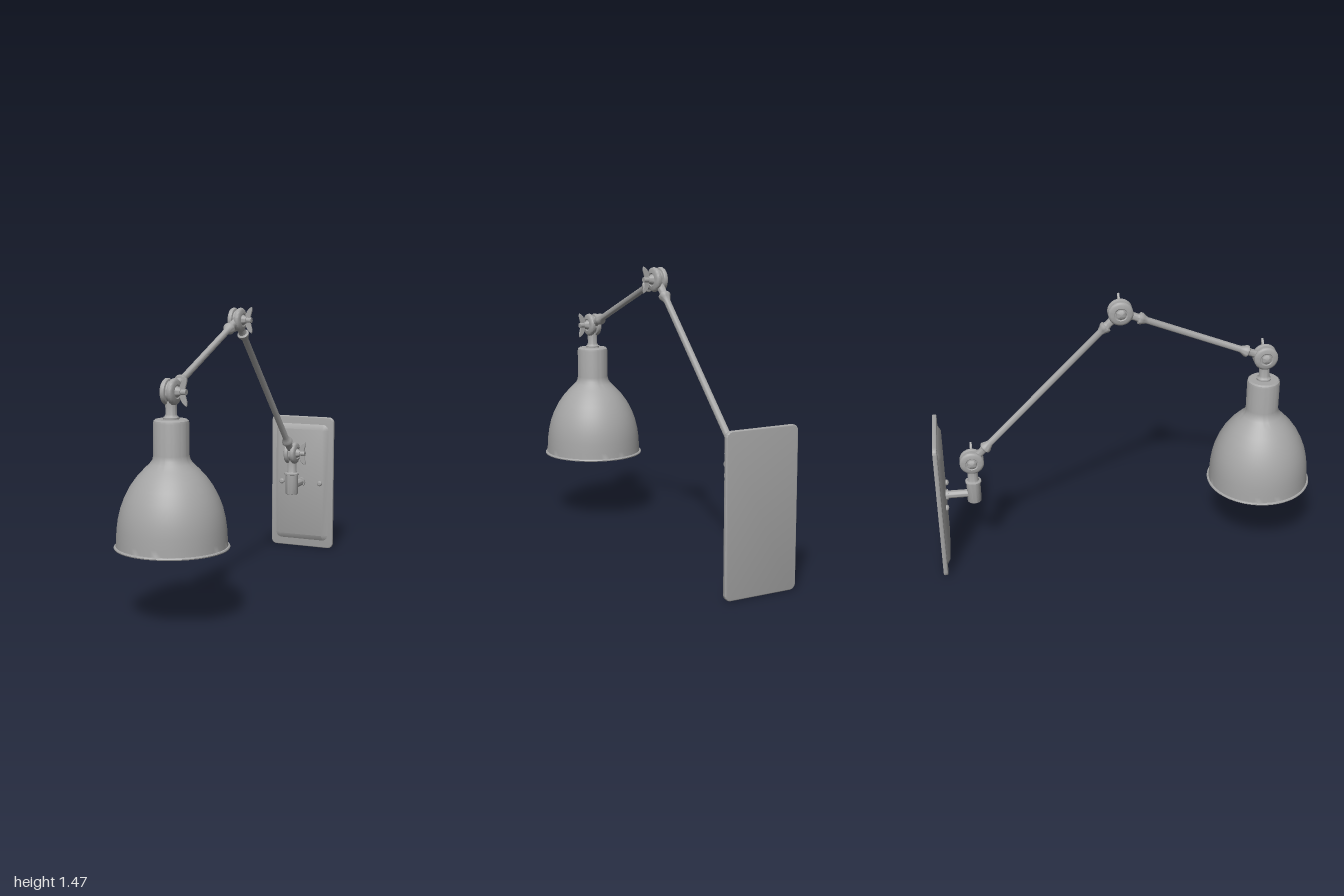
import * as THREE from 'three';
import { toCreasedNormals } from 'three/addons/utils/BufferGeometryUtils.js';

const metal = new THREE.MeshStandardMaterial({ color: 0xa6a6a6 });
metal.name = 'grey metal';

function part(name, geometry, parent, x = 0, y = 0, z = 0) {
  const mesh = new THREE.Mesh(toCreasedNormals(geometry, 0.6), metal);
  mesh.name = name;
  mesh.position.set(x, y, z);
  parent.add(mesh);
  return mesh;
}

const lathe = (points, segments = 32) =>
  new THREE.LatheGeometry(points.map(([r, h]) => new THREE.Vector2(r, h)), segments);

function roundedRect(w, h, r) {
  const s = new THREE.Shape();
  s.absarc(w / 2 - r, h / 2 - r, r, 0, Math.PI / 2);
  s.absarc(-w / 2 + r, h / 2 - r, r, Math.PI / 2, Math.PI);
  s.absarc(-w / 2 + r, -h / 2 + r, r, Math.PI, Math.PI * 1.5);
  s.absarc(w / 2 - r, -h / 2 + r, r, Math.PI * 1.5, Math.PI * 2);
  s.closePath();
  return s;
}

// Clamped pivot: two round cheeks, a rivet head and a wing nut
function makeJoint(name, y, z) {
  const joint = new THREE.Group();
  joint.name = name;
  joint.position.set(0, y, z);
  for (const side of [-1, 1]) {
    const cheek = lathe([[0, -0.014], [0.05, -0.014], [0.059, -0.011], [0.063, -0.004],
      [0.063, 0.004], [0.059, 0.01], [0.05, 0.014], [0.034, 0.016], [0.03, 0.013], [0, 0.013]]);
    part('cheek', cheek, joint, side * 0.019).rotation.z = -side * Math.PI / 2;
  }
  part('core', new THREE.CylinderGeometry(0.05, 0.05, 0.02, 32), joint).rotation.z = Math.PI / 2;
  part('rivet', lathe([[0.026, 0], [0.024, 0.008], [0.016, 0.014], [0, 0.017]]), joint, -0.031)
    .rotation.z = Math.PI / 2;
  part('screw', new THREE.CylinderGeometry(0.014, 0.014, 0.05, 20), joint, 0.056).rotation.z = Math.PI / 2;
  part('nutHub', new THREE.CylinderGeometry(0.017, 0.026, 0.022, 24), joint, 0.043).rotation.z = -Math.PI / 2;

  const wing = new THREE.Shape();
  wing.moveTo(0.046, 0);
  wing.bezierCurveTo(0.046, 0.03, 0.06, 0.055, 0.08, 0.065);
  wing.bezierCurveTo(0.088, 0.05, 0.073, 0.03, 0.072, 0);
  wing.bezierCurveTo(0.073, -0.03, 0.088, -0.05, 0.08, -0.065);
  wing.bezierCurveTo(0.06, -0.055, 0.046, -0.03, 0.046, 0);
  part('wingNut', new THREE.ExtrudeGeometry(wing, { depth: 0.008, bevelThickness: 0.002,
    bevelSize: 0.002, bevelSegments: 1, curveSegments: 8 }), joint, 0, 0, -0.004);
  return joint;
}

// Rod between two pivots with a flared collar at each end
function makeArm(name, a, b, parent) {
  const dir = b.clone().sub(a);
  const half = dir.length() / 2;
  const end = [[0, 0.045], [0.022, 0.045], [0.019, 0.085], [0.022, 0.098], [0.031, 0.104],
    [0.031, 0.114], [0.025, 0.124], [0.017, 0.145]];
  const profile = [...end.map(([r, d]) => [r, d - half]),
    ...end.slice().reverse().map(([r, d]) => [r, half - d])];
  const arm = part(name, lathe(profile, 24), parent);
  arm.position.copy(a).add(b).multiplyScalar(0.5);
  arm.quaternion.setFromUnitVectors(new THREE.Vector3(0, 1, 0), dir.normalize());
}

export function createModel() {
  const lamp = new THREE.Group();
  lamp.name = 'wallLamp';
  const lampZ = 0.725, postZ = -0.81;
  const pivots = [
    new THREE.Vector3(0, 1.096, lampZ),
    new THREE.Vector3(0, 1.398, -0.027),
    new THREE.Vector3(0, 0.593, postZ),
  ];

  // Wall plate with a chamfered raised panel
  const plate = new THREE.Group();
  plate.name = 'wallPlate';
  plate.position.set(0, 0.395, -1);
  lamp.add(plate);
  part('backPlate', new THREE.ExtrudeGeometry(roundedRect(0.38, 0.78, 0.026), { depth: 0.013,
    bevelThickness: 0.005, bevelSize: 0.005, bevelSegments: 3 }), plate, 0, 0, 0.005);
  part('raisedPanel', new THREE.ExtrudeGeometry(roundedRect(0.27, 0.64, 0.006), { depth: 0.003,
    bevelThickness: 0.018, bevelSize: 0.03, bevelSegments: 1 }), plate, 0, 0, 0.02);
  for (const side of [-1, 1]) {
    part('bolt', lathe([[0.015, 0], [0.015, 0.012], [0.01, 0.018], [0, 0.02]], 20),
      plate, side * 0.12, 0, 0.038).rotation.x = Math.PI / 2;
  }

  // Horizontal pipe and upright socket that carry the arms
  part('wallPipe', lathe([[0.021, 0], [0.021, 0.135], [0.028, 0.135], [0.028, 0.155]], 24),
    lamp, 0, 0.397, postZ).rotation.x = -Math.PI / 2;
  part('wallSocket', lathe([[0, 0.35], [0.035, 0.35], [0.037, 0.353], [0.037, 0.463], [0.042, 0.465],
    [0.042, 0.474], [0.03, 0.478], [0.027, 0.485], [0.027, 0.56], [0, 0.56]]), lamp, 0, 0, postZ);

  // Arms and pivots
  makeArm('upperArm', pivots[0], pivots[1], lamp);
  makeArm('lowerArm', pivots[1], pivots[2], lamp);
  ['lampJoint', 'elbowJoint', 'wallJoint'].forEach((name, i) =>
    lamp.add(makeJoint(name, pivots[i].y, pivots[i].z)));

  // Neck below the lamp pivot
  part('lampNeck', lathe([[0.038, 0.962], [0.038, 0.976], [0.031, 0.981], [0.027, 0.99],
    [0.027, 1.06], [0, 1.06]]), lamp, 0, 0, lampZ);

  // Bell shade as one closed wall, inside first and then outside
  const dome = [[0.266, 0.368], [0.264, 0.4], [0.261, 0.45], [0.254, 0.5], [0.242, 0.55],
    [0.223, 0.6], [0.197, 0.65], [0.165, 0.695], [0.13, 0.733], [0.102, 0.76], [0.09, 0.777], [0.085, 0.8]];
  const inner = dome.map(([r, h]) => [r - 0.006, h - 0.004]).reverse();
  part('shade', lathe([[0, 0.79], ...inner, [0.268, 0.357], [0.274, 0.357], [0.276, 0.362],
    [0.273, 0.367], ...dome, [0.085, 0.95], [0.082, 0.961], [0.074, 0.967], [0, 0.968]], 64),
  lamp, 0, 0, lampZ);

  // Bulb holder inside the shade
  part('bulb', lathe([[0, 0.49], [0.03, 0.497], [0.051, 0.518], [0.06, 0.55], [0.053, 0.59],
    [0.035, 0.64], [0.03, 0.68], [0.04, 0.68], [0.04, 0.795]]), lamp, 0, 0, lampZ);

  return lamp;
}
